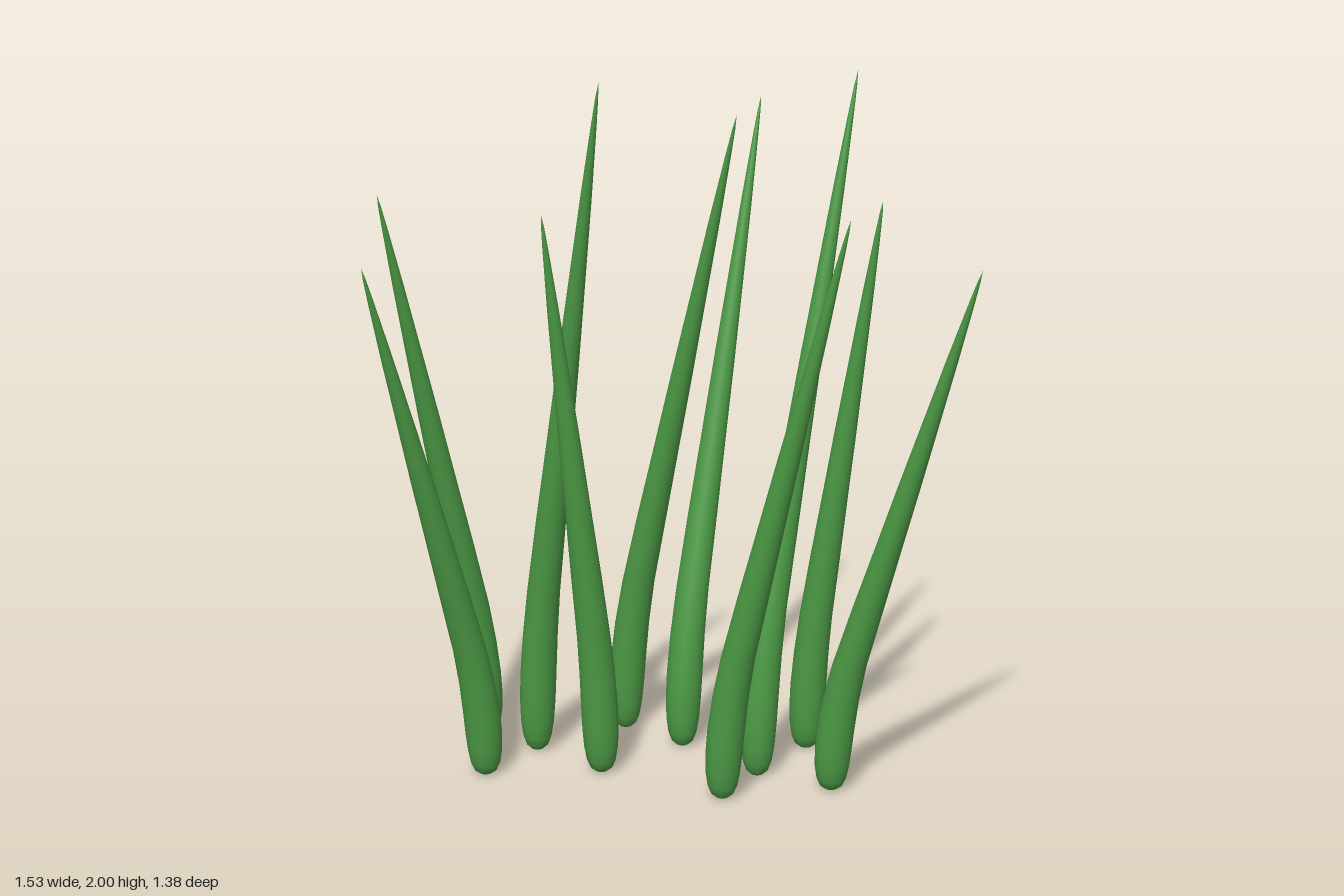
import * as THREE from 'three';
import { mergeVertices } from 'three/addons/utils/BufferGeometryUtils.js';

const green = new THREE.MeshStandardMaterial({ color: 0x4c9a45 });

// Blade outline: radius against height fraction, rounded at the root, pointed at the tip
const outline = [
  [0, 0], [0.018, 0.0015], [0.032, 0.008], [0.042, 0.022], [0.049, 0.046], [0.0525, 0.08],
  [0.053, 0.12], [0.051, 0.18], [0.048, 0.25], [0.0435, 0.36], [0.037, 0.48], [0.031, 0.6],
  [0.0235, 0.72], [0.016, 0.84], [0.008, 0.94], [0.004, 0.98], [0, 1],
];

// Sideways lean: upright at the root, curving into a straight slope by the knee
const KNEE = 0.29;
function lean(t) {
  const raw = t < KNEE ? (t * t) / (2 * KNEE) : t - KNEE / 2;
  return raw / (1 - KNEE / 2);
}

function makeBlade(x, z, tipX, tipY, tipZ) {
  const points = outline.map(([r, t]) => new THREE.Vector2(r, t * tipY));
  let geometry = new THREE.LatheGeometry(points, 24);
  geometry.deleteAttribute('uv');
  geometry.deleteAttribute('normal');
  geometry = mergeVertices(geometry, 1e-5);
  const pos = geometry.attributes.position;
  for (let i = 0; i < pos.count; i++) {
    const k = lean(pos.getY(i) / tipY);
    pos.setX(i, pos.getX(i) + (tipX - x) * k);
    pos.setZ(i, pos.getZ(i) + (tipZ - z) * k);
  }
  geometry.computeVertexNormals();
  const blade = new THREE.Mesh(geometry, green);
  blade.position.set(x, 0, z);
  return blade;
}

// Root x, root z, tip x, tip y, tip z
const blades = [
  // leaning forward
  [-0.715, 0.037, -0.715, 1.68, 0.42],
  [-0.49, 0.268, -0.49, 1.54, 0.69],
  [-0.248, 0.037, -0.248, 1.655, 0.26],
  // leaning to the left
  [-0.51, 0.03, -0.16, 2.0, 0.125],
  [-0.435, -0.28, -0.015, 1.89, -0.28],
  [0.085, -0.5, 0.305, 1.655, -0.53],
  [0.145, -0.037, 0.525, 1.68, -0.085],
  [0.34, -0.287, 0.765, 1.54, -0.34],
  // leaning back
  [-0.205, -0.275, -0.257, 1.89, -0.69],
  [0.112, -0.235, 0.16, 2.0, -0.6],
];

export function createModel() {
  const grass = new THREE.Group();
  grass.name = 'grassTuft';
  blades.forEach((b, i) => {
    const blade = makeBlade(...b);
    blade.name = `grassBlade${i + 1}`;
    grass.add(blade);
  });
  return grass;
}
